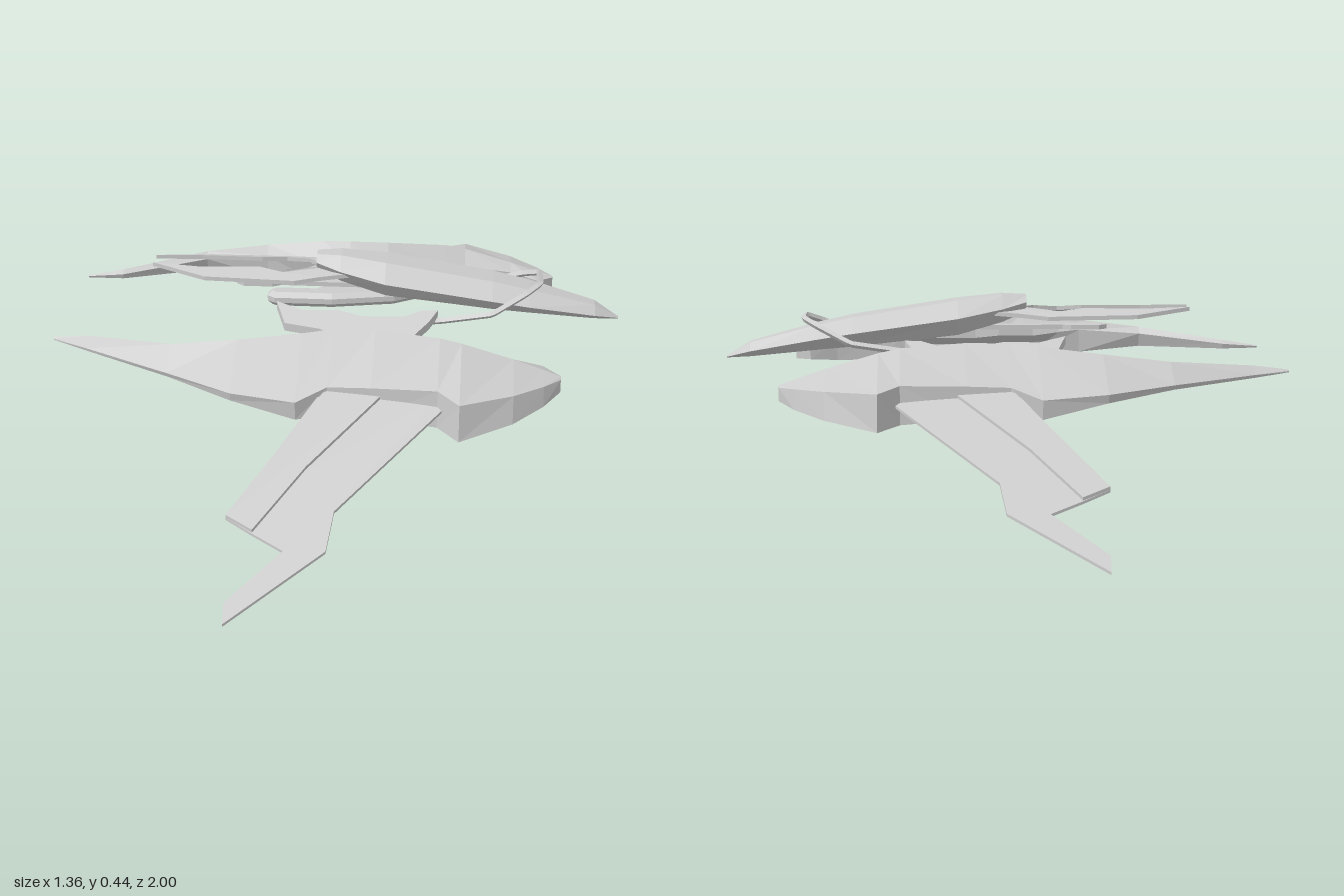
import * as THREE from 'three';

const hull = new THREE.MeshStandardMaterial({ color: 0xcccccc });
hull.name = 'paleGreyHull';

// Flat-shaded mesh whose faces are turned outward (also after mirroring)
function solid(name, geo) {
  const g = geo.index ? geo.toNonIndexed() : geo;
  g.deleteAttribute('uv');
  const p = g.attributes.position;
  const a = new THREE.Vector3(), b = new THREE.Vector3(), c = new THREE.Vector3();
  const mid = new THREE.Box3().setFromBufferAttribute(p).getCenter(new THREE.Vector3());
  let volume = 0;
  for (let i = 0; i < p.count; i += 3) {
    [a, b, c].forEach((v, k) => v.fromBufferAttribute(p, i + k).sub(mid));
    volume += a.dot(b.cross(c));
  }
  if (volume < 0) {
    for (let i = 0; i < p.count; i += 3) {
      b.fromBufferAttribute(p, i + 1);
      c.fromBufferAttribute(p, i + 2);
      p.setXYZ(i + 1, c.x, c.y, c.z);
      p.setXYZ(i + 2, b.x, b.y, b.z);
    }
  }
  g.computeVertexNormals();
  const mesh = new THREE.Mesh(g, hull);
  mesh.name = name;
  return mesh;
}

// Skin over cross-sections: each is [x, [[z, y], ...]]
function loft(name, sections, side = 1) {
  const n = sections[0][1].length, pos = [], idx = [];
  sections.forEach(([x, ring]) => ring.forEach(([z, y]) => pos.push(x, y, z * side)));
  for (let s = 0; s < sections.length - 1; s++) {
    for (let i = 0; i < n; i++) {
      const a = s * n + i, b = s * n + (i + 1) % n;
      idx.push(a, b, a + n, b, b + n, a + n);
    }
  }
  const last = (sections.length - 1) * n;
  for (let i = 1; i < n - 1; i++) idx.push(0, i + 1, i, last, last + i, last + i + 1);
  const g = new THREE.BufferGeometry();
  g.setAttribute('position', new THREE.Float32BufferAttribute(pos, 3));
  g.setIndex(idx);
  return solid(name, g);
}

// Plate with an [x, z] outline lying on the height rule y = height(x, z)
function plate(name, outline, height, thick, side = 1, { hole, bevel = 0 } = {}) {
  const toPoints = list => list.map(([x, z]) => new THREE.Vector2(x, z));
  const shape = new THREE.Shape(toPoints(outline));
  if (hole) shape.holes.push(new THREE.Path(toPoints(hole)));
  const g = new THREE.ExtrudeGeometry(shape, {
    depth: thick, bevelEnabled: bevel > 0, bevelThickness: bevel, bevelSize: bevel,
    bevelOffset: -bevel, bevelSegments: 1,
  });
  const p = g.attributes.position;
  for (let i = 0; i < p.count; i++) {
    const x = p.getX(i), z = p.getY(i), d = p.getZ(i);
    p.setXYZ(i, x, height(x, z) + d, z * side);
  }
  return solid(name, g);
}

export function createModel() {
  const model = new THREE.Group();
  model.name = 'spacecraft';

  // Fuselage: x, half width, top, side height, bottom
  const body = [
    [-0.06, 0.035, 0.44, 0.425, 0.4],
    [0.0, 0.055, 0.442, 0.41, 0.375],
    [0.11, 0.08, 0.43, 0.39, 0.345],
    [0.37, 0.082, 0.39, 0.355, 0.318],
    [0.46, 0.075, 0.37, 0.34, 0.31],
    [0.62, 0.038, 0.328, 0.308, 0.293],
    [0.68, 0.004, 0.292, 0.29, 0.288],
  ];
  model.add(loft('fuselage', body.map(([x, w, top, mid, low]) => [x, [
    [w * 0.45, top], [w, mid], [w * 0.45, low], [-w * 0.45, low], [-w, mid], [-w * 0.45, top],
  ]])));

  // Tail gun below the prongs
  const gun = [[-0.26, 0.01], [-0.24, 0.026], [-0.17, 0.026], [-0.15, 0.014], [0.06, 0.014]];
  model.add(loft('tailGun', gun.map(([x, w]) => [x, [
    [w, 0.355], [w, 0.366], [-w, 0.366], [-w, 0.355],
  ]])));

  // Hoop arching over the nose
  const half = [[0.2, 0.315, 0.125], [0.25, 0.318, 0.12], [0.37, 0.335, 0.113],
    [0.45, 0.372, 0.07], [0.485, 0.388, 0.038]];
  const path = new THREE.CurvePath();
  const pts = [...half, ...half.slice().reverse().map(([x, y, z]) => [x, y, -z])]
    .map(v => new THREE.Vector3(...v));
  for (let i = 1; i < pts.length; i++) path.add(new THREE.LineCurve3(pts[i - 1], pts[i]));
  model.add(solid('noseHoop', new THREE.TubeGeometry(path, 60, 0.008, 4)));

  // Nacelle rings: inner edge, ridge, outer edge, outer bottom, inner bottom
  const nacelle = [
    [-0.68, [[0.198, 0.277], [0.2, 0.279], [0.204, 0.276], [0.204, 0.273], [0.2, 0.273]]],
    [-0.59, [[0.202, 0.283], [0.215, 0.292], [0.252, 0.275], [0.25, 0.268], [0.207, 0.27]]],
    [-0.38, [[0.285, 0.3], [0.302, 0.316], [0.365, 0.271], [0.36, 0.26], [0.3, 0.265]]],
    [-0.22, [[0.295, 0.31], [0.31, 0.336], [0.45, 0.265], [0.445, 0.245], [0.3, 0.25]]],
    [-0.07, [[0.262, 0.3], [0.302, 0.354], [0.47, 0.257], [0.465, 0.212], [0.28, 0.235]]],
    [0.0, [[0.255, 0.3], [0.288, 0.36], [0.432, 0.28], [0.432, 0.212], [0.27, 0.235]]],
    [0.1, [[0.255, 0.3], [0.284, 0.361], [0.44, 0.285], [0.44, 0.21], [0.27, 0.235]]],
    [0.25, [[0.275, 0.3], [0.302, 0.352], [0.455, 0.29], [0.46, 0.202], [0.285, 0.235]]],
    [0.3, [[0.283, 0.3], [0.305, 0.342], [0.505, 0.28], [0.517, 0.196], [0.29, 0.235]]],
    [0.42, [[0.278, 0.29], [0.306, 0.307], [0.435, 0.275], [0.45, 0.212], [0.285, 0.235]]],
    [0.49, [[0.265, 0.274], [0.308, 0.284], [0.37, 0.27], [0.38, 0.224], [0.268, 0.24]]],
    [0.53, [[0.305, 0.268], [0.312, 0.27], [0.322, 0.266], [0.322, 0.235], [0.308, 0.237]]],
  ];
  const wingY = (x, z) => 0.002 + (1 - z) * 0.45;
  const armY = (x, z) => 0.345 - (z - 0.1) * 0.52;

  for (const side of [1, -1]) {
    const half = new THREE.Group();
    half.name = side > 0 ? 'nearSide' : 'farSide';
    model.add(half);

    half.add(loft('nacelle', nacelle, side));

    // Drooping wing with hooked tip and a raised rear panel
    half.add(plate('wing', [
      [-0.01, 0.42], [-0.19, 0.755], [-0.13, 0.79], [-0.06, 0.828], [-0.17, 0.95],
      [-0.167, 0.998], [0.03, 0.825], [0.04, 0.73], [0.27, 0.455], [0.26, 0.42],
    ], wingY, 0.006, side));
    half.add(plate('wingPanel', [
      [0.0, 0.42], [-0.19, 0.755], [-0.13, 0.788], [-0.03, 0.63], [0.13, 0.43],
    ], (x, z) => wingY(x, z) + 0.004, 0.009, side));

    // Pod slung under the nacelle
    half.add(plate('underPod', [
      [-0.21, 0.2], [-0.19, 0.185], [-0.04, 0.185], [0.12, 0.22], [0.24, 0.3], [0.2, 0.34],
      [0.04, 0.36], [-0.05, 0.3], [-0.09, 0.24], [-0.19, 0.24], [-0.21, 0.225],
    ], () => 0.223, 0.014, side, { bevel: 0.012 }));

    // Strut joining nacelle and claw
    half.add(plate('strut', [
      [0.0, 0.18], [0.17, 0.18], [0.185, 0.24], [0.24, 0.28], [0.24, 0.31], [-0.11, 0.31],
      [-0.11, 0.28], [-0.06, 0.26], [-0.03, 0.24], [-0.005, 0.22],
    ], (x, z) => 0.285 + Math.max(0, z - 0.22) * 0.2, 0.018, side,
    { hole: [[0.035, 0.197], [0.15, 0.197], [0.135, 0.22], [0.055, 0.22]] }));

    // Claw-shaped arm plate beside the fuselage
    half.add(plate('clawArm', [
      [-0.15, 0.105], [-0.085, 0.128], [0.0, 0.125], [0.06, 0.14], [0.16, 0.138], [0.2, 0.12],
      [0.24, 0.118], [0.22, 0.15], [0.18, 0.195], [0.0, 0.195], [-0.04, 0.178], [-0.125, 0.165],
    ], (x, z) => armY(x, z) - 0.012, 0.02, side));

    // Long tail prong
    half.add(plate('tailProng', [
      [-0.465, 0.025], [-0.33, 0.075], [-0.11, 0.082], [-0.05, 0.065], [0.02, 0.05],
      [0.02, 0.0], [-0.05, 0.0], [-0.08, 0.03], [-0.14, 0.05], [-0.2, 0.032], [-0.35, 0.038],
    ], (x, z) => 0.4 - Math.max(0, z - 0.03) * 0.3, 0.01, side));
  }
  return model;
}
